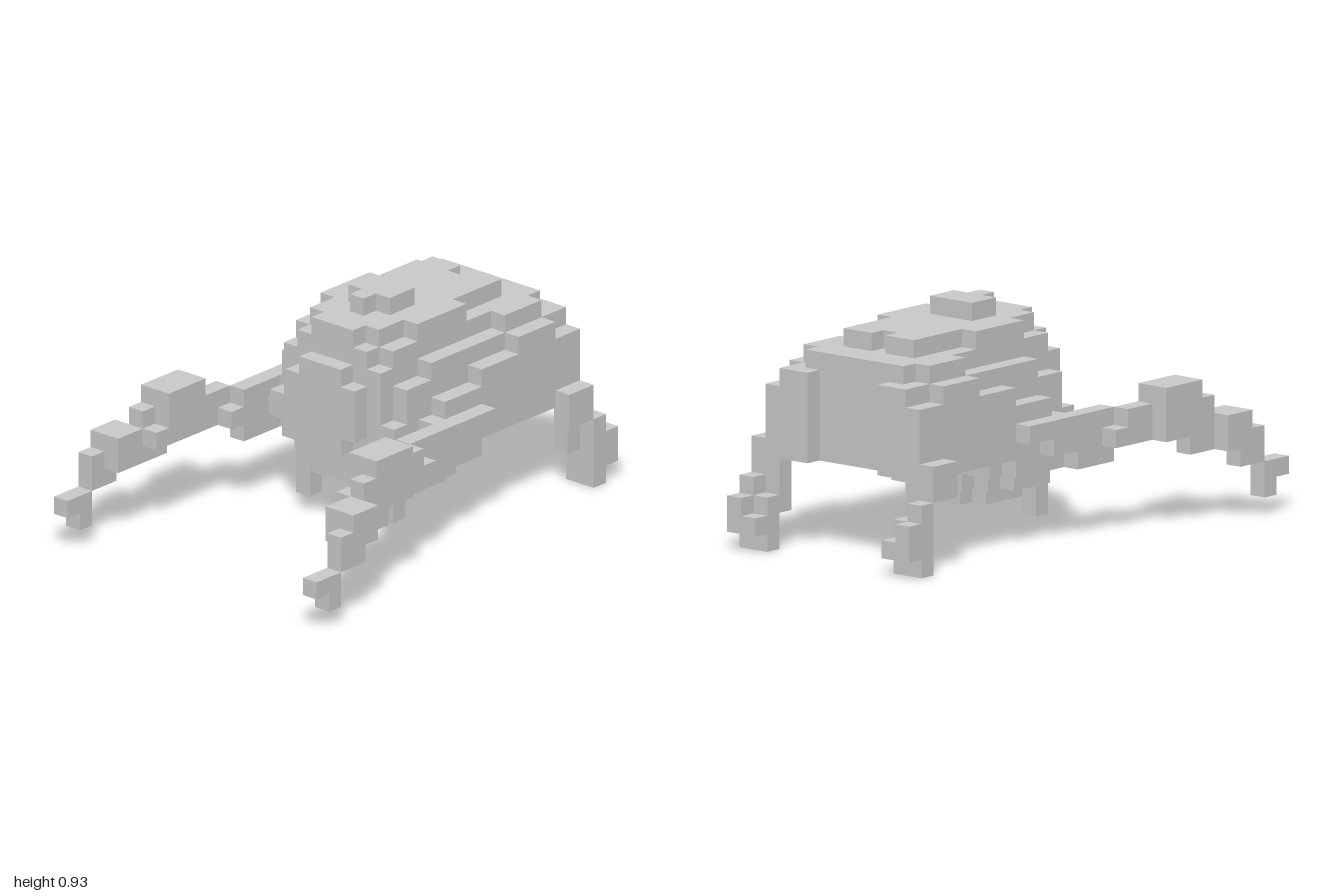
import * as THREE from 'three';
import { mergeGeometries } from 'three/addons/utils/BufferGeometryUtils.js';

const V = 1 / 14; // edge of one cube
const material = new THREE.MeshStandardMaterial({ color: 0xcccccc, flatShading: true });

// Block given by its limits, counted in cubes
function block(x0, x1, y0, y1, z0, z1) {
  return new THREE.BoxGeometry((x1 - x0) * V, (y1 - y0) * V, (z1 - z0) * V)
    .translate((x0 + x1) * V / 2, (y0 + y1) * V / 2, (z0 + z1) * V / 2);
}

function part(name, geometries) {
  const mesh = new THREE.Mesh(mergeGeometries(geometries), material);
  mesh.name = name;
  return mesh;
}

// The same blocks on one side (+1) or the other (-1)
function sidePart(name, blocks, side) {
  return part(name, blocks.map(([x0, x1, ...yz]) =>
    side > 0 ? block(x0, x1, ...yz) : block(-x1, -x0, ...yz)));
}

// Body layers from the belly up: bottom y, then [half width, back z, front z]
const layers = [
  [2, [2.5, -3, 0], [1.5, -4, 0]],
  [3, [4.5, -3, 0], [3.5, -4, 1], [2.5, -5, 1], [1.5, -5, 2]],
  [4, [5.5, -4, 0], [4.5, -5, 1], [2.5, -6, 2]],
  [5, [5.5, -6, 1], [3.5, -7, 2], [1.5, -8, 3]],
  [6, [5.5, -11, 0], [4.5, -11, 2], [2.5, -11, 3]],
  [7, [5.5, -11, -1], [4.5, -11, 1], [3.5, -11, 2], [2.5, -11, 3]],
  [8, [5.5, -11, -4], [4.5, -11, 1], [3.5, -11, 2], [2.5, -11, 3]],
  [9, [5.5, -10, -7], [4.5, -11, -1], [3.5, -11, 2], [1.5, -11, 3]],
  [10, [4.5, -10, -7], [3.5, -11, 1], [2.5, -11, 2]],
  [11, [2.5, -8, 1], [3.5, -5, -1], [1.5, -8, 2]],
];

// [inner x, outer x, bottom y, top y, back z, front z]
const frontLeg = [
  [5.5, 6.5, 6, 7, -4, 3], [5.5, 6.5, 5, 6, -2, 4], [5.5, 6.5, 4, 5, 0, 3],
  [6.5, 7.5, 5, 6, 2, 4], [6.5, 7.5, 5, 7, 3, 5],
  [6.5, 8.5, 5, 8, 5, 8], [7.5, 8.5, 4, 7, 7, 9], [6.5, 7.5, 5, 6, 8, 9],
  [7.5, 9.5, 4, 6, 9, 11], [8.5, 9.5, 3, 4, 10, 11],
  [8.5, 9.5, 3, 5, 11, 12], [8.5, 9.5, 1, 3, 12, 13], [8.5, 9.5, 2, 3, 13, 14],
];
const backLeg = [
  [2.5, 4.5, 5, 10, -12, -11], [4.5, 5.5, 5, 9, -12, -11], // haunch on the rear wall
  [5.5, 6.5, 4, 6, -12, -10], [4.5, 5.5, 2, 5, -12, -11],
  [4.5, 5.5, 0, 3, -13, -12], [5.5, 6.5, 0, 4, -13, -12],
  [4.5, 5.5, 1, 2, -14, -13], [5.5, 6.5, 1, 3, -14, -13],
];
const bellyLeg = [[2.5, 3.5, 1, 4, 0, 1]];
const rearRidge = [[0.5, 2.5, 11, 12, -9, -8]];
// Lower rim that leaves the underside hollow at the rear
const rim = [[4.5, 5.5, 5, 6, -11, -6], [0, 4.5, 5, 6, -11, -10]];

export function createModel() {
  const model = new THREE.Group();
  model.name = 'blockCreature';

  model.add(part('body', layers.flatMap(([y, ...slabs]) =>
    slabs.map(([w, z0, z1]) => block(-w, w, y, y + 1, z0, z1)))));

  model.add(part('crest', [
    block(-1.5, 1.5, 12, 13, -3, -1),
    block(-0.5, 0.5, 12, 13, -1, 0),
  ]));

  for (const side of [1, -1]) {
    const label = side > 0 ? 'left' : 'right';
    model.add(
      sidePart(label + 'FrontLeg', frontLeg, side),
      sidePart(label + 'BackLeg', backLeg, side),
      sidePart(label + 'BellyLeg', bellyLeg, side),
      sidePart(label + 'RearRidge', rearRidge, side),
      sidePart(label + 'Rim', rim, side),
    );
  }
  return model;
}
